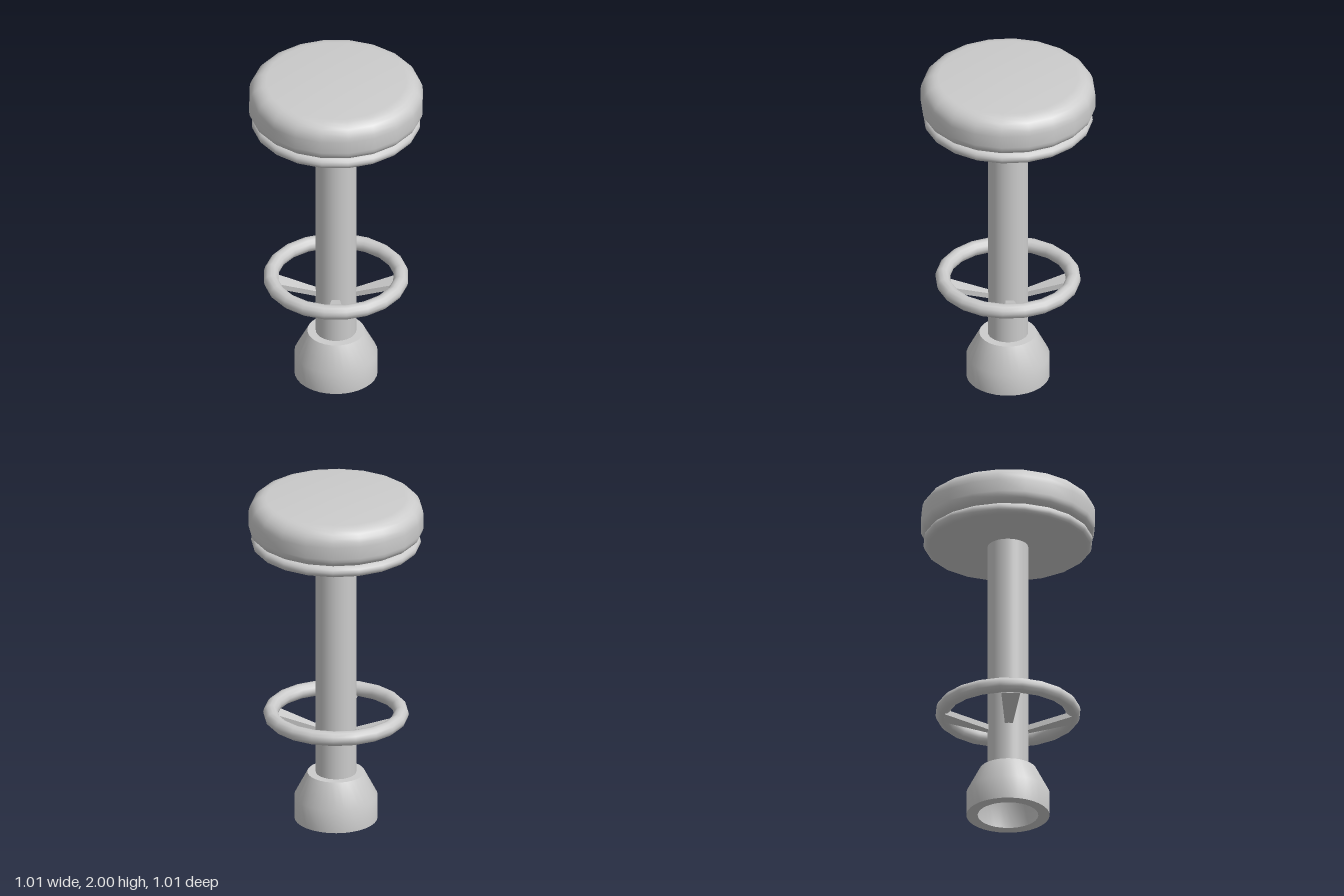
import * as THREE from 'three';
import { toCreasedNormals } from 'three/addons/utils/BufferGeometryUtils.js';

const material = new THREE.MeshStandardMaterial({ color: 0xcccccc });

function add(group, name, geometry) {
  const mesh = new THREE.Mesh(geometry, material);
  mesh.name = name;
  group.add(mesh);
  return mesh;
}

// Turned part from [radius, height] points, listed from bottom to top
function turned(points, sides) {
  const profile = points.map(([r, y]) => new THREE.Vector2(r, y));
  return toCreasedNormals(new THREE.LatheGeometry(profile, sides), 0.65);
}

// Points of a rounded corner around (r, y), between two angles in degrees
function corner(r, y, radius, from, to, steps = 5) {
  return Array.from({ length: steps + 1 }, (_, i) => {
    const a = THREE.MathUtils.degToRad(from + ((to - from) * i) / steps);
    return [r + radius * Math.cos(a), y + radius * Math.sin(a)];
  });
}

// Flat bracket that rises and widens from the column out to the ring
function bracketGeometry() {
  const geometry = new THREE.BoxGeometry(1, 1, 1).toNonIndexed();
  const p = geometry.attributes.position;
  for (let i = 0; i < p.count; i++) {
    const outer = p.getX(i) > 0;
    const bottom = outer ? 0.607 : 0.53;
    p.setXYZ(
      i,
      outer ? 0.365 : 0.108,
      p.getY(i) > 0 ? bottom + 0.033 : bottom,
      p.getZ(i) * (outer ? 0.11 : 0.045)
    );
  }
  geometry.computeVertexNormals();
  return geometry;
}

export function createModel() {
  const stool = new THREE.Group();
  stool.name = 'barStool';

  // Hollow base with a tapered shoulder
  add(stool, 'base', turned([
    [0.115, 0.285], [0.175, 0.14], [0.175, 0],
    [0.24, 0], [0.24, 0.14], [0.165, 0.285], [0.115, 0.285],
  ], 32));

  // Column
  const column = add(stool, 'column', new THREE.CylinderGeometry(0.117, 0.117, 1.44, 32));
  column.position.y = 0.28 + 0.72;

  // Foot ring
  const ring = add(stool, 'footRing', new THREE.TorusGeometry(0.377, 0.043, 12, 20));
  ring.rotation.x = Math.PI / 2;
  ring.position.y = 0.652;

  // Four diagonal brackets holding the ring
  const bracket = bracketGeometry();
  for (let i = 0; i < 4; i++) {
    add(stool, 'footRingBracket', bracket).rotation.y = Math.PI / 4 + (i * Math.PI) / 2;
  }

  // Rounded rim under the cushion
  add(stool, 'seatRim', turned([
    [0, 1.702], ...corner(0.457, 1.735, 0.033, -90, 90, 6), [0, 1.768],
  ], 20));

  // Padded cushion
  add(stool, 'seatCushion', turned([
    [0, 1.768],
    ...corner(0.445, 1.828, 0.06, -90, 0),
    ...corner(0.405, 1.9, 0.1, 0, 90, 6),
    [0, 2],
  ], 20));

  return stool;
}
